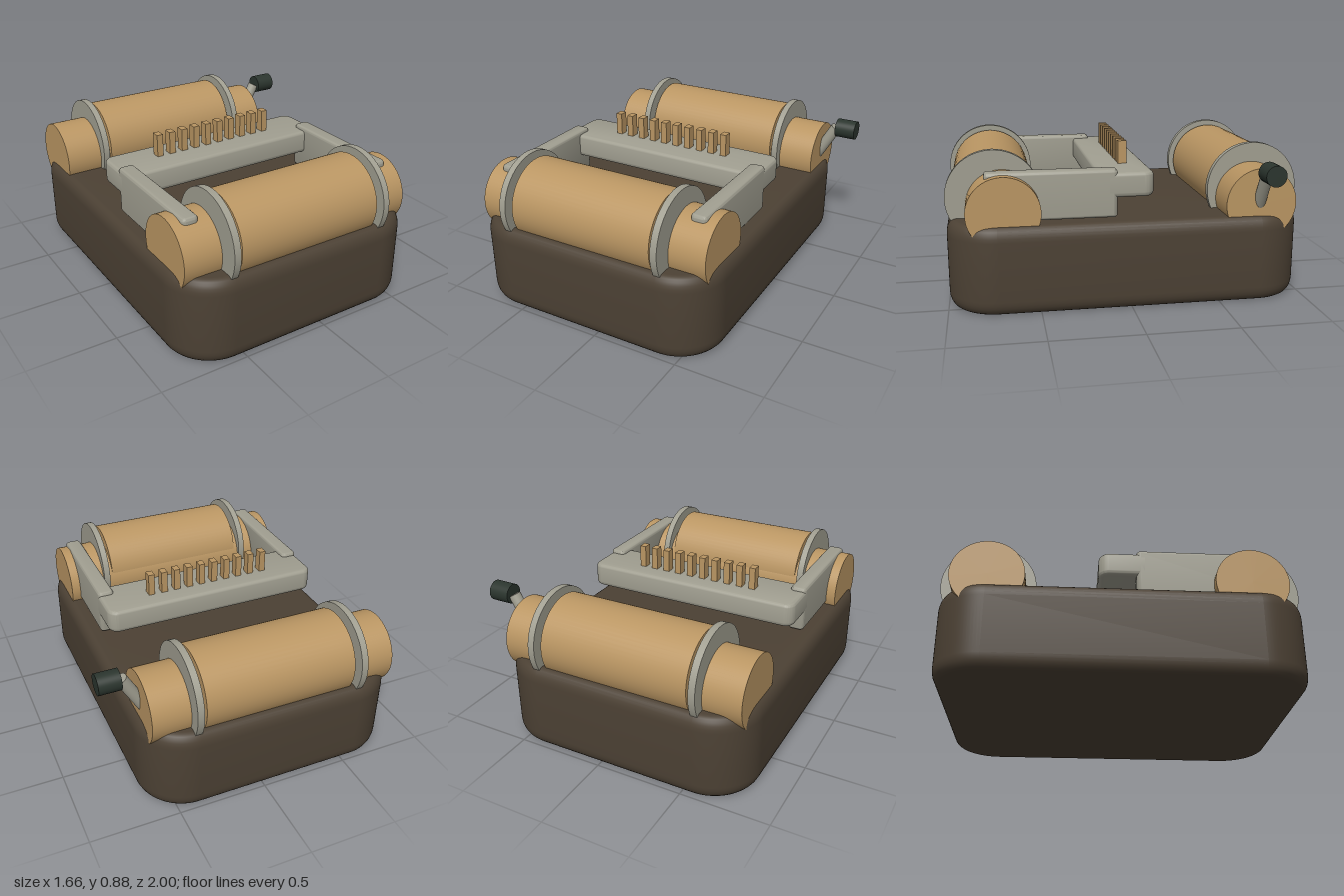
import * as THREE from 'three';
import { toCreasedNormals } from 'three/addons/utils/BufferGeometryUtils.js';

const mat = (name, color) => {
  const m = new THREE.MeshStandardMaterial({ color });
  m.name = name;
  return m;
};

export function createModel() {
  const body = mat('dark brown body', 0x4c4134);
  const wood = mat('tan roller', 0xba9663);
  const metal = mat('warm grey metal', 0xa19f91);
  const grip = mat('dark green grip', 0x2b352e);
  const model = new THREE.Group();

  const add = (name, geometry, material, parent = model) => {
    const mesh = new THREE.Mesh(geometry, material);
    mesh.name = name;
    parent.add(mesh);
    return mesh;
  };

  // Horizontal slab with rounded plan corners and soft top and bottom edges
  const slab = ([x0, x1], [y0, y1], [z0, z1], radius, bevelSize, bevelThickness) => {
    const w = (x1 - x0) / 2 - bevelSize, d = (z1 - z0) / 2 - bevelSize, r = radius - bevelSize;
    const s = new THREE.Shape();
    s.absarc(w - r, d - r, r, 0, Math.PI / 2);
    s.absarc(-w + r, d - r, r, Math.PI / 2, Math.PI);
    s.absarc(-w + r, -d + r, r, Math.PI, Math.PI * 1.5);
    s.absarc(w - r, -d + r, r, Math.PI * 1.5, Math.PI * 2);
    const g = new THREE.ExtrudeGeometry(s, {
      depth: y1 - y0 - 2 * bevelThickness, bevelSize, bevelThickness, bevelSegments: 6, curveSegments: 12,
    });
    g.rotateX(-Math.PI / 2);
    g.translate((x0 + x1) / 2, y0 + bevelThickness, (z0 + z1) / 2);
    return toCreasedNormals(g, 0.7);
  };

  // Cylinder lying along x
  const roll = (x0, x1, y, z, radius) => {
    const g = new THREE.CylinderGeometry(radius, radius, x1 - x0, 64);
    g.rotateZ(Math.PI / 2);
    g.translate((x0 + x1) / 2, y, z);
    return g;
  };

  add('base', slab([-0.83, 0.65], [0, 0.49], [-0.995, 0.995], 0.27, 0.05, 0.08), body);

  // Two rollers, each with a thin axle drum, a thicker drum and two flanges
  for (const [name, axleZ, drumZ] of [['frontRoller', 0.69, 0.737], ['backRoller', -0.725, -0.737]]) {
    const roller = new THREE.Group();
    roller.name = name;
    model.add(roller);
    add('axleDrum', roll(-0.795, 0.613, 0.555, axleZ, 0.2), wood, roller);
    add('mainDrum', roll(-0.52, 0.34, 0.6, drumZ, 0.235), wood, roller);
    for (const x of [-0.563, 0.383]) {
      add('flange', roll(x - 0.019, x + 0.019, 0.601, drumZ, 0.263), metal, roller);
    }
  }

  // Crossbar carried by two arms
  add('crossbar', slab([-0.74, 0.56], [0.61, 0.745], [-0.135, 0.175], 0.06, 0.02, 0.025), metal);
  for (const x of [-0.74, 0.467]) {
    add('arm', slab([x, x + 0.093], [0.5, 0.765], [0.07, 0.785], 0.025, 0.015, 0.018), metal);
  }

  // Row of upright pegs
  for (let i = 0; i < 10; i++) {
    const peg = add('peg', new THREE.BoxGeometry(0.037, 0.155, 0.05), wood);
    peg.position.set(-0.449 + i * 0.0795, 0.7975, 0);
  }

  // Crank on the back roller
  const crank = new THREE.Group();
  crank.name = 'crank';
  model.add(crank);
  const a = new THREE.Vector3(0.57, 0.526, -0.72), b = new THREE.Vector3(0.698, 0.752, -0.72);
  const rod = add('crankRod', new THREE.CylinderGeometry(0.034, 0.034, a.distanceTo(b), 32), metal, crank);
  rod.position.lerpVectors(a, b, 0.5);
  rod.quaternion.setFromUnitVectors(new THREE.Vector3(0, 1, 0), b.clone().sub(a).normalize());
  add('crankGrip', roll(0.705, 0.827, 0.753, -0.72, 0.057), grip, crank);

  return model;
}
